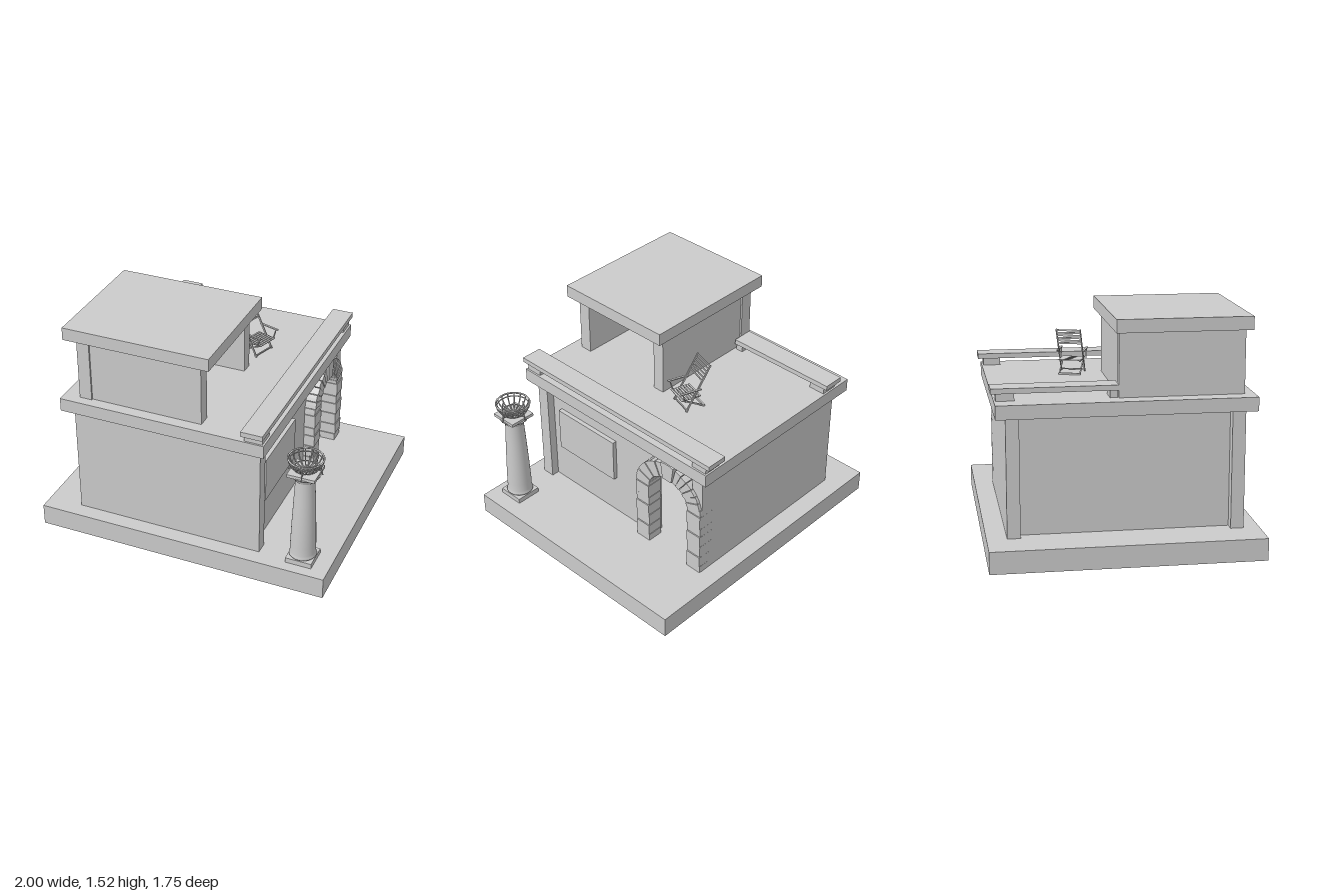
import * as THREE from 'three';

const grey = new THREE.MeshStandardMaterial({ color: 0xcccccc, side: THREE.DoubleSide });

function add(parent, name, geometry) {
  const mesh = new THREE.Mesh(geometry, grey);
  mesh.name = name;
  parent.add(mesh);
  return mesh;
}

// Box given by its limits on each axis
function slab(parent, name, x0, x1, y0, y1, z0, z1) {
  const m = add(parent, name, new THREE.BoxGeometry(x1 - x0, y1 - y0, z1 - z0));
  m.position.set((x0 + x1) / 2, (y0 + y1) / 2, (z0 + z1) / 2);
  return m;
}

// Straight rectangular bar between two points
function bar(parent, name, a, b, w, d = w) {
  const p = new THREE.Vector3(...a), q = new THREE.Vector3(...b);
  const m = add(parent, name, new THREE.BoxGeometry(w, p.distanceTo(q), d));
  m.position.copy(p).add(q).multiplyScalar(0.5);
  m.quaternion.setFromUnitVectors(new THREE.Vector3(0, 1, 0), q.sub(p).normalize());
  return m;
}

function group(parent, name) {
  const g = new THREE.Group();
  g.name = name;
  parent.add(g);
  return g;
}

function buildLowerFloor(root) {
  const g = group(root, 'lowerFloor');
  slab(g, 'frontWall', -0.765, 0.525, 0.145, 0.925, 0.685, 0.77);
  slab(g, 'backWall', -0.765, 0.525, 0.145, 0.925, -0.745, -0.66);
  slab(g, 'rightSideWall', -0.70, -0.62, 0.145, 0.925, -0.66, 0.685);
  slab(g, 'leftSideWall', 0.39, 0.47, 0.145, 0.925, -0.26, 0.685);
  slab(g, 'signBoard', 0.47, 0.50, 0.435, 0.745, 0.08, 0.605);
  slab(g, 'terrace', -0.83, 0.57, 0.925, 1.015, -0.81, 0.835);
}

function buildUpperFloor(root) {
  const g = group(root, 'upperFloor');
  slab(g, 'sideWall', -0.72, -0.635, 1.015, 1.435, -0.033, 0.77);
  slab(g, 'frontWall', -0.635, 0.125, 1.015, 1.435, 0.67, 0.758);
  slab(g, 'backWall', -0.635, 0.125, 1.015, 1.435, -0.02, 0.062);
  slab(g, 'roof', -0.80, 0.195, 1.435, 1.52, -0.06, 0.80);
}

// Low rails carried by a block at each end
function buildParapets(root) {
  for (const [name, x, z0, z1, blocks] of [
    ['longParapet', 0.4975, -0.835, 0.855, [-0.74, 0.765]],
    ['shortParapet', -0.6475, -0.83, -0.033, [-0.74, -0.062]],
  ]) {
    const g = group(root, name);
    slab(g, 'cap', x - 0.0725, x + 0.0725, 1.063, 1.097, z0, z1);
    for (const z of blocks) {
      const h = z > -0.1 && z < 0 ? 0.025 : 0.058;
      slab(g, 'block', x - 0.06, x + 0.06, 1.015, 1.063, z - h, z + h);
    }
  }
}

// Stone doorway: stacked jambs, wedge stones and a keystone
function buildArch(root) {
  const g = group(root, 'archway');
  g.position.set(0.435, 0, -0.4625);
  g.rotation.y = Math.PI / 2;
  const stone = (name, pts, depth) => add(g, name, new THREE.ExtrudeGeometry(
    new THREE.Shape(pts.map(p => new THREE.Vector2(...p))), { depth, bevelEnabled: false }));
  const courses = [0.145, 0.20, 0.28, 0.37, 0.455, 0.52, 0.62];
  const gap = 0.0025, springY = 0.62;
  for (const s of [-1, 1]) {
    for (let i = 0; i < courses.length - 1; i++) {
      const y0 = courses[i] + gap, y1 = courses[i + 1] - gap;
      stone('jambStone', [[s * 0.17, y0], [s * 0.283, y0], [s * 0.283, y1], [s * 0.17, y1]],
        0.108 + (i % 2) * 0.004);
    }
    const n = 7, end = 1.35;
    for (let i = 0; i < n; i++) {
      const a = end * i / n + 0.008, b = end * (i + 1) / n - 0.008;
      const inner = t => [s * 0.17 * Math.cos(t), springY + 0.152 * Math.sin(t)];
      const outer = t => [s * 0.283 * Math.cos(t), springY + 0.262 * Math.sin(t)];
      const m = (a + b) / 2;
      stone('wedgeStone', [inner(a), outer(a), outer(m), outer(b), inner(b), inner(m)],
        0.108 + (i % 2) * 0.004);
    }
  }
  stone('keystone', [[-0.038, 0.77], [0.038, 0.77], [0.055, 0.89], [0.02, 0.898], [-0.02, 0.898], [-0.055, 0.89]], 0.118);
}

function buildColumn(root) {
  const g = group(root, 'column');
  g.position.set(0.803, 0, 0.713);
  slab(g, 'plinth', -0.088, 0.088, 0.145, 0.18, -0.088, 0.088);
  const profile = [[0, 0.18], [0.082, 0.18], [0.09, 0.19], [0.088, 0.20], [0.083, 0.215], [0.083, 0.27],
    [0.078, 0.42], [0.07, 0.60], [0.062, 0.76], [0.068, 0.765], [0.068, 0.775], [0.075, 0.785],
    [0.095, 0.80], [0.1, 0.812], [0, 0.812]];
  add(g, 'shaft', new THREE.LatheGeometry(profile.map(p => new THREE.Vector2(...p)), 32));
  slab(g, 'abacus', -0.092, 0.092, 0.808, 0.83, -0.092, 0.092);

  // Iron fire basket
  const basket = group(g, 'fireBasket');
  for (const [r, y, t] of [[0.112, 0.918, 0.006], [0.108, 0.895, 0.004], [0.075, 0.848, 0.004], [0.03, 0.835, 0.004]]) {
    const ring = add(basket, 'hoop', new THREE.TorusGeometry(r, t, 6, 32));
    ring.rotation.x = Math.PI / 2;
    ring.position.y = y;
  }
  const path = new THREE.CatmullRomCurve3([[0.008, 0.833], [0.05, 0.838], [0.085, 0.856], [0.104, 0.885], [0.114, 0.922]]
    .map(([r, y]) => new THREE.Vector3(r, y, 0)));
  const rib = new THREE.TubeGeometry(path, 10, 0.0045, 5);
  for (let i = 0; i < 16; i++) add(basket, 'rib', rib).rotation.y = i * Math.PI / 8;
  for (let i = 0; i < 4; i++) {
    const leg = group(basket, 'basketLeg');
    leg.rotation.y = i * Math.PI / 2 + 0.1;
    bar(leg, 'foot', [0.108, 0.815, 0], [0.092, 0.875, 0], 0.006);
    bar(leg, 'brace', [0.098, 0.85, 0], [0.06, 0.842, 0], 0.006);
  }
}

// Folding slatted chair; local +x is its front
function buildChair(root) {
  const g = group(root, 'foldingChair');
  g.position.set(0.10, 1.015, -0.225);
  g.rotation.y = -0.31;
  const top = [-0.115, 0.313], foot = [0.06, 0.004];
  const onPost = t => [foot[0] + (top[0] - foot[0]) * t, foot[1] + (top[1] - foot[1]) * t];
  for (const s of [-1, 1]) {
    const z = s * 0.08;
    bar(g, 'backPost', [...foot, z], [...top, z], 0.012, 0.008);
    bar(g, 'crossLeg', [-0.075, 0.004, s * 0.07], [0.07, 0.088, s * 0.07], 0.01, 0.008);
    bar(g, 'seatRail', [-0.045, 0.085, s * 0.065], [0.085, 0.09, s * 0.065], 0.008);
    bar(g, 'armRest', [-0.045, 0.155, s * 0.088], [0.105, 0.158, s * 0.088], 0.007, 0.014);
    bar(g, 'armSupport', [0.07, 0.088, s * 0.086], [0.09, 0.156, s * 0.086], 0.007);
  }
  for (let i = 0; i < 8; i++) {
    const x = -0.045 + i * 0.0185;
    bar(g, 'seatSlat', [x, 0.094, -0.078], [x, 0.094, 0.078], 0.012, 0.005);
  }
  for (let i = 0; i < 6; i++) {
    const p = onPost(0.67 + i * 0.062);
    bar(g, 'backSlat', [...p, -0.08], [...p, 0.08], 0.006, 0.011);
  }
  bar(g, 'frontFootBar', [0.055, 0.014, -0.08], [0.055, 0.014, 0.08], 0.008);
  bar(g, 'rearFootBar', [-0.075, 0.006, -0.075], [-0.075, 0.006, 0.075], 0.012);
}

export function createModel() {
  const root = new THREE.Group();
  root.name = 'terraceHouse';
  slab(root, 'groundPlate', -1, 1, 0, 0.145, -0.875, 0.875);
  buildLowerFloor(root);
  buildUpperFloor(root);
  buildParapets(root);
  buildArch(root);
  buildColumn(root);
  buildChair(root);
  return root;
}
